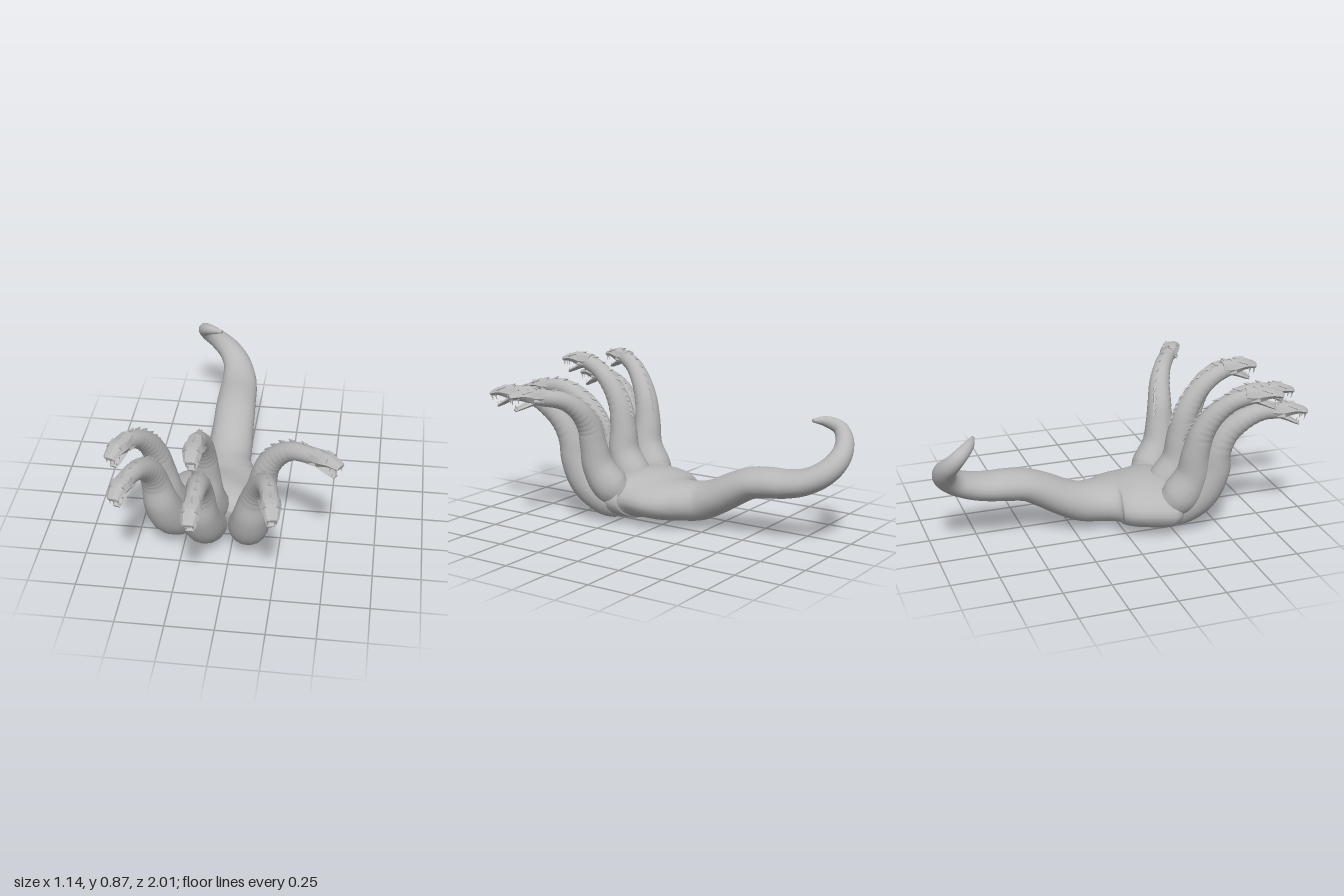
import * as THREE from 'three';

const V = (x, y, z) => new THREE.Vector3(x, y, z);
const skin = new THREE.MeshStandardMaterial({ color: 0xb8b8b8 });
skin.name = 'grey skin';

// Frames along a smooth path through keys [x, y, z, rx, ry]; heading sets the side axis
function makeFrames(keys, rings, heading) {
  const path = new THREE.CatmullRomCurve3(keys.map(k => V(k[0], k[1], k[2])));
  const radii = new THREE.CatmullRomCurve3(
    keys.map(k => V(k[3], k[4] ?? k[3], 0)), false, 'catmullrom');
  const side = heading.clone().cross(V(0, 1, 0)).normalize();
  const frames = [];
  for (let i = 0; i <= rings; i++) {
    const t = i / rings;
    const dir = path.getTangent(t);
    side.addScaledVector(dir, -side.dot(dir)).normalize();
    frames.push({ pos: path.getPoint(t), dir, side: side.clone(),
      up: side.clone().cross(dir), r: radii.getPoint(t) });
  }
  return frames;
}

// Closed skin over elliptical rings; ripple presses shallow folds into the underside
function skinFrames(frames, sides, flat = false, ripple = () => 1) {
  const pos = [], idx = [], n = frames.length;
  frames.forEach((f, i) => {
    for (let j = 0; j < sides; j++) {
      const a = (j / sides) * Math.PI * 2;
      const k = Math.sin(a) < 0.1 ? ripple(i, n) : 1;
      const p = f.pos.clone()
        .addScaledVector(f.side, Math.cos(a) * f.r.x * k)
        .addScaledVector(f.up, Math.sin(a) * f.r.y * k);
      pos.push(p.x, p.y, p.z);
    }
  });
  const first = n * sides, last = first + 1;
  pos.push(...frames[0].pos.toArray(), ...frames[n - 1].pos.toArray());
  for (let j = 0; j < sides; j++) {
    const k = (j + 1) % sides;
    for (let i = 0; i < n - 1; i++) {
      const a = i * sides + j, b = i * sides + k;
      idx.push(a, a + sides, b, b, a + sides, b + sides);
    }
    idx.push(first, j, k, last, (n - 1) * sides + k, (n - 1) * sides + j);
  }
  let g = new THREE.BufferGeometry();
  g.setAttribute('position', new THREE.Float32BufferAttribute(pos, 3));
  g.setIndex(idx);
  if (flat) g = g.toNonIndexed();
  g.computeVertexNormals();
  return g;
}

function add(parent, name, geometry) {
  const m = new THREE.Mesh(geometry, skin);
  m.name = name;
  parent.add(m);
  return m;
}

// Small pointed cone with its base at p, aimed along dir
function spike(parent, name, p, dir, radius, length, squash = 1) {
  const g = new THREE.ConeGeometry(radius, length, 4).toNonIndexed();
  g.translate(0, length / 2, 0);
  g.scale(1, 1, squash);
  g.computeVertexNormals();
  const m = add(parent, name, g);
  m.position.copy(p);
  m.quaternion.setFromUnitVectors(V(0, 1, 0), dir.clone().normalize());
  return m;
}

// Open-mouthed serpent head, snout along +z
function makeHead() {
  const head = new THREE.Group();
  head.name = 'head';
  const z = V(0, 0, 1);
  add(head, 'skull', skinFrames(makeFrames([
    [0, 0, -0.04, 0.040, 0.040], [0, 0.002, 0.02, 0.050, 0.041],
    [0, 0.012, 0.065, 0.051, 0.032], [0, 0.010, 0.105, 0.041, 0.022],
    [0, 0.004, 0.138, 0.035, 0.017], [0, 0, 0.15, 0.026, 0.011]], 9, z), 8, true));
  add(head, 'lowerJaw', skinFrames(makeFrames([
    [0, -0.018, 0, 0.036, 0.022], [0, -0.033, 0.04, 0.037, 0.015],
    [0, -0.054, 0.085, 0.029, 0.011], [0, -0.068, 0.115, 0.019, 0.007]], 6, z), 8, true));
  for (const s of [-1, 1]) {
    spike(head, 'frontFang', V(s * 0.021, -0.005, 0.138), V(0, -1, -0.1), 0.007, 0.036);
    spike(head, 'sideFang', V(s * 0.033, -0.002, 0.108), V(0, -1, -0.1), 0.006, 0.026);
    spike(head, 'lowerFang', V(s * 0.016, -0.062, 0.105), V(0, 1, 0.3), 0.005, 0.026);
    spike(head, 'brow', V(s * 0.030, 0.026, 0.09), V(s * 0.15, 0.25, -1), 0.015, 0.06);
    spike(head, 'cheekSpine', V(s * 0.040, -0.012, 0.025), V(s * 0.35, -0.1, -1), 0.013, 0.05);
  }
  spike(head, 'crownSpine', V(0, 0.035, 0.03), V(0, 0.4, -1), 0.012, 0.045);
  return head;
}

// Neck with throat folds, a row of back spines and a head
function makeNeck(name, keys, heading, tip) {
  const neck = new THREE.Group();
  neck.name = name;
  const frames = makeFrames(keys, 72, heading);
  const folds = (i, n) => (i > n * 0.5 && i < n * 0.85 && i % 3 === 0 ? 0.965 : 1);
  add(neck, 'neckSkin', skinFrames(frames, 16, false, folds));
  // spines crowd together low down and spread out towards the head
  for (const i of [37, 39, 41, 43, 45, 48, 52, 57, 62, 67]) {
    const f = frames[i];
    const p = f.pos.clone().addScaledVector(f.up, f.r.y * 0.93);
    const d = f.dir.clone().negate().addScaledVector(f.up, 0.6);
    spike(neck, 'backSpine', p, d, 0.012, 0.036);
  }
  const head = makeHead();
  head.position.copy(frames[frames.length - 1].pos);
  head.lookAt(tip);
  neck.add(head);
  return neck;
}

export function createModel() {
  const model = new THREE.Group();
  model.name = 'manyHeadedSerpent';

  // Broad body running back into a curled tail
  add(model, 'bodyAndTail', skinFrames(makeFrames([
    [-0.115, 0.125, 0.29, 0.24, 0.075], [-0.115, 0.135, 0.24, 0.295, 0.127],
    [-0.11, 0.148, 0.13, 0.285, 0.132], [-0.072, 0.142, 0, 0.232, 0.11],
    [-0.075, 0.143, -0.1, 0.16, 0.107], [-0.085, 0.155, -0.2, 0.126, 0.104],
    [-0.085, 0.195, -0.3, 0.12, 0.095], [-0.085, 0.25, -0.4, 0.115, 0.09],
    [-0.087, 0.296, -0.5, 0.113, 0.083], [-0.09, 0.312, -0.6, 0.11, 0.08],
    [-0.092, 0.32, -0.7, 0.106, 0.074], [-0.1, 0.342, -0.8, 0.096, 0.069],
    [-0.125, 0.385, -0.885, 0.08, 0.065], [-0.175, 0.44, -0.935, 0.066, 0.06],
    [-0.24, 0.5, -0.945, 0.055, 0.052], [-0.295, 0.555, -0.92, 0.045, 0.045],
    [-0.31, 0.597, -0.885, 0.038, 0.038], [-0.27, 0.63, -0.83, 0.028, 0.028],
    [-0.2, 0.643, -0.79, 0.01, 0.01]], 90, V(0, 0, -1)), 24));

  // Lower row of necks
  model.add(makeNeck('frontRightNeck', [
    [-0.24, 0.1, 0.22, 0.08], [-0.28, 0.14, 0.29, 0.1], [-0.32, 0.22, 0.38, 0.1],
    [-0.35, 0.35, 0.44, 0.09], [-0.37, 0.47, 0.455, 0.073], [-0.385, 0.57, 0.5, 0.064],
    [-0.41, 0.645, 0.58, 0.056], [-0.435, 0.685, 0.67, 0.047], [-0.46, 0.69, 0.745, 0.042],
  ], V(-0.25, 0, 1), V(-0.49, 0.68, 0.89)));
  model.add(makeNeck('frontMiddleNeck', [
    [-0.12, 0.09, 0.24, 0.08], [-0.125, 0.12, 0.31, 0.1], [-0.135, 0.21, 0.42, 0.105],
    [-0.14, 0.33, 0.49, 0.093], [-0.135, 0.45, 0.515, 0.075], [-0.13, 0.55, 0.57, 0.064],
    [-0.12, 0.63, 0.66, 0.056], [-0.115, 0.665, 0.76, 0.047], [-0.115, 0.662, 0.85, 0.042],
  ], V(0, 0, 1), V(-0.115, 0.645, 1)));
  model.add(makeNeck('frontLeftNeck', [
    [0.05, 0.1, 0.23, 0.08], [0.075, 0.13, 0.3, 0.1], [0.1, 0.21, 0.41, 0.103],
    [0.12, 0.33, 0.47, 0.093], [0.14, 0.45, 0.495, 0.075], [0.165, 0.55, 0.54, 0.064],
    [0.2, 0.635, 0.62, 0.056], [0.225, 0.68, 0.71, 0.047], [0.243, 0.685, 0.8, 0.042],
  ], V(0.2, 0, 1), V(0.27, 0.67, 0.945)));

  // Upper row of necks
  model.add(makeNeck('backRightNeck', [
    [-0.29, 0.15, 0.2, 0.07], [-0.32, 0.22, 0.27, 0.1], [-0.34, 0.34, 0.33, 0.088],
    [-0.36, 0.47, 0.34, 0.074], [-0.38, 0.59, 0.365, 0.065], [-0.41, 0.69, 0.42, 0.056],
    [-0.45, 0.765, 0.5, 0.047], [-0.49, 0.802, 0.59, 0.042],
  ], V(-0.4, 0, 1), V(-0.535, 0.8, 0.74)));
  model.add(makeNeck('backMiddleNeck', [
    [-0.115, 0.15, 0.2, 0.07], [-0.12, 0.22, 0.27, 0.1], [-0.125, 0.34, 0.335, 0.088],
    [-0.13, 0.47, 0.345, 0.074], [-0.135, 0.6, 0.37, 0.065], [-0.135, 0.71, 0.43, 0.056],
    [-0.138, 0.79, 0.52, 0.047], [-0.14, 0.828, 0.605, 0.042],
  ], V(0, 0, 1), V(-0.14, 0.825, 0.75)));
  model.add(makeNeck('backLeftNeck', [
    [0.07, 0.15, 0.2, 0.07], [0.11, 0.21, 0.26, 0.098], [0.14, 0.32, 0.32, 0.086],
    [0.16, 0.43, 0.335, 0.074], [0.185, 0.54, 0.345, 0.065], [0.24, 0.63, 0.365, 0.057],
    [0.32, 0.695, 0.41, 0.048], [0.44, 0.725, 0.49, 0.042],
  ], V(0.8, 0, 0.6), V(0.56, 0.735, 0.575)));

  return model;
}
